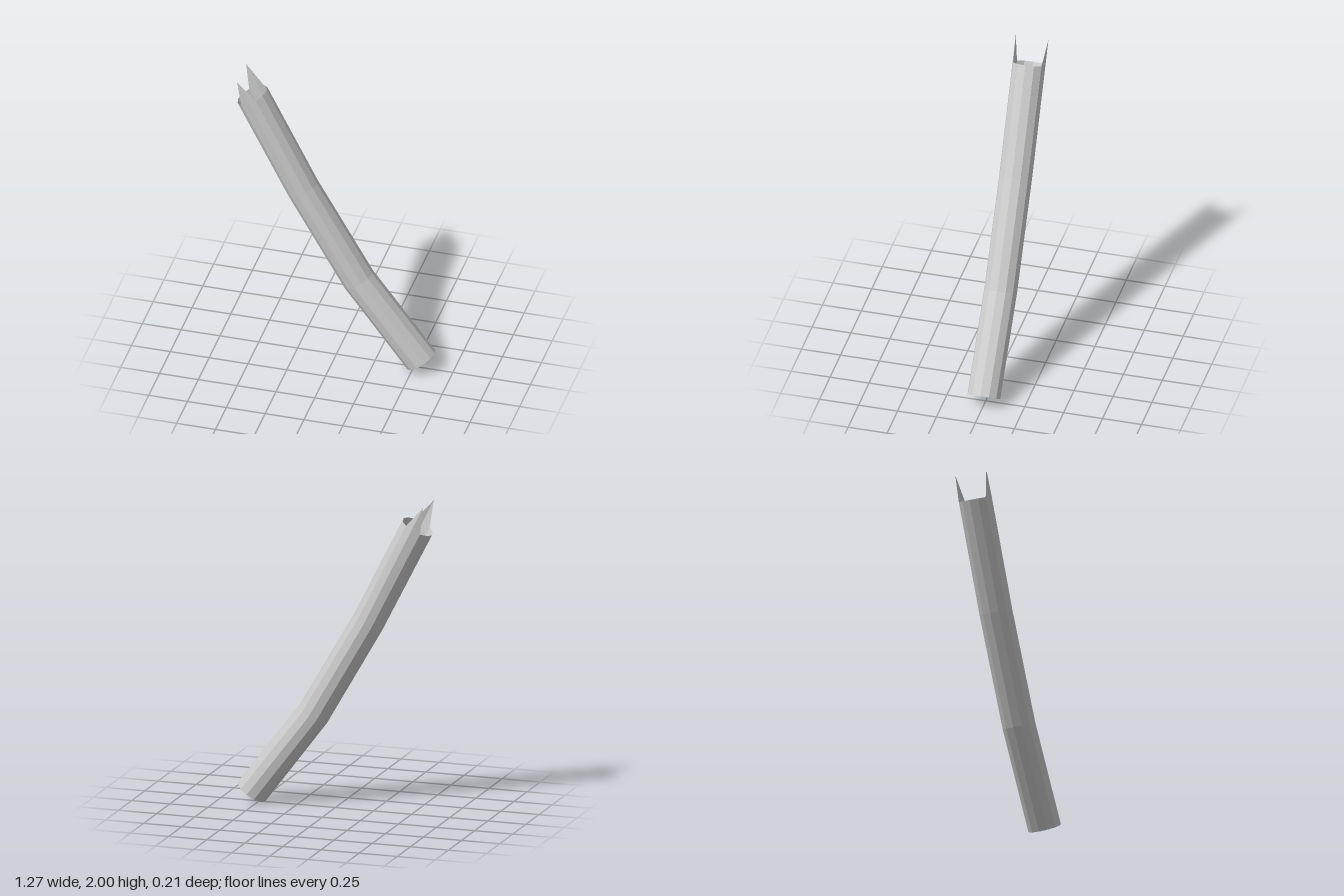
import * as THREE from 'three';

const SIDES = 12;
const RADIUS = 0.105;

// Rings from bottom to top: centre (x, y) and in-plane half axis (hx, hy)
const RINGS = [
  { x: 0.546, y: 0.061, hx: 0.086, hy: 0.061 },
  { x: 0.143, y: 0.592, hx: 0.089, hy: 0.053 },
  { x: -0.217, y: 1.213, hx: 0.092, hy: 0.046 },
  { x: -0.541, y: 1.848, hx: 0.0925, hy: 0.047 },
];
// Two opposite points of the top rim are drawn out along the tube's axis
const SPIKE = { x: -0.07, y: 0.152 };

export function createModel() {
  const positions = [];
  const indices = [];

  RINGS.forEach((r, level) => {
    for (let i = 0; i < SIDES; i++) {
      const a = (i / SIDES) * Math.PI * 2;
      const spiked = level === RINGS.length - 1 && i % (SIDES / 2) === SIDES / 4;
      positions.push(
        r.x + r.hx * Math.cos(a) + (spiked ? SPIKE.x : 0),
        r.y + r.hy * Math.cos(a) + (spiked ? SPIKE.y : 0),
        RADIUS * Math.sin(a)
      );
    }
  });

  // Side panels between neighbouring rings, both ends left open
  for (let level = 0; level < RINGS.length - 1; level++) {
    for (let i = 0; i < SIDES; i++) {
      const a = level * SIDES + i;
      const b = level * SIDES + ((i + 1) % SIDES);
      indices.push(a, a + SIDES, b, b, a + SIDES, b + SIDES);
    }
  }

  const indexed = new THREE.BufferGeometry();
  indexed.setAttribute('position', new THREE.Float32BufferAttribute(positions, 3));
  indexed.setIndex(indices);
  const geometry = indexed.toNonIndexed();
  geometry.computeVertexNormals();

  const tube = new THREE.Mesh(
    geometry,
    new THREE.MeshStandardMaterial({ color: 0xcccccc, flatShading: true, side: THREE.DoubleSide })
  );
  tube.name = 'bentTube';

  const group = new THREE.Group();
  group.name = 'spikedBentTube';
  group.add(tube);
  return group;
}
